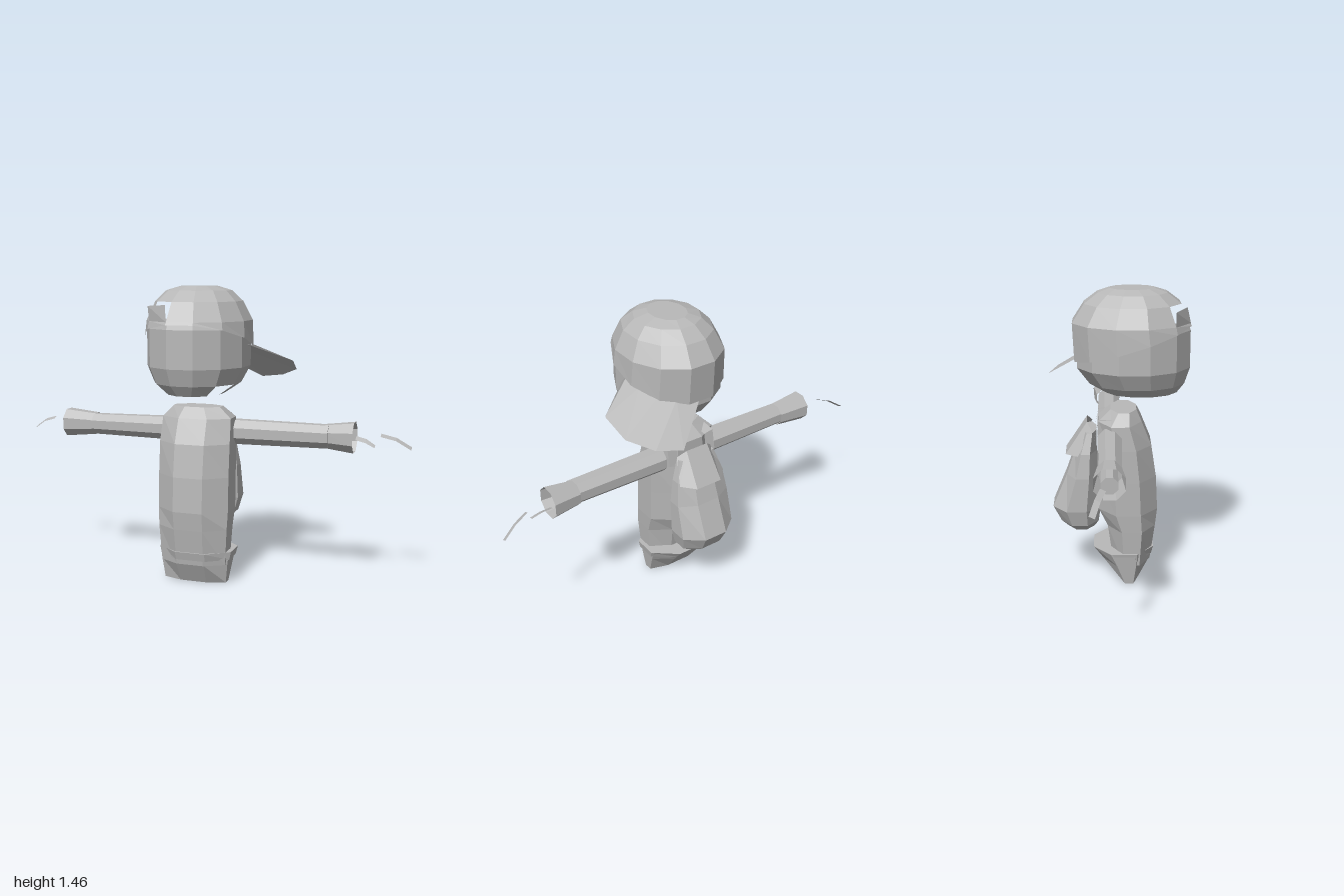
import * as THREE from 'three';

const grey = new THREE.MeshStandardMaterial({ color: 0xb8b8b8, flatShading: true });
grey.name = 'plain grey';
const greyThin = new THREE.MeshStandardMaterial({ color: 0xb8b8b8, flatShading: true, side: THREE.DoubleSide });
greyThin.name = 'plain grey thin';

// Stacks oval rings [y, halfWidth, zFront, zBack, tilt] centred on cx, sides facing out.
function loft(rings, n, { cx = 0, top = true, bottom = true, skip = () => false } = {}) {
  const pos = [], idx = [], k = 1 / Math.cos(Math.PI / n);
  for (const [y, w, zf, zb, tilt = 0] of rings) {
    for (let i = 0; i < n; i++) {
      const a = ((i + 0.5) / n) * Math.PI * 2;
      const z = (zf + zb) / 2 + ((zf - zb) / 2) * Math.sin(a) * k;
      pos.push(cx + w * Math.cos(a) * k, y + tilt * z, z);
    }
  }
  for (let r = 0; r < rings.length - 1; r++) {
    for (let i = 0; i < n; i++) {
      if (skip(r, i)) continue;
      const j = (i + 1) % n, a = r * n + i, d = r * n + j;
      idx.push(a, a + n, d + n, a, d + n, d);
    }
  }
  const last = (rings.length - 1) * n;
  for (let i = 1; i < n - 1; i++) {
    if (bottom) idx.push(0, i, i + 1);
    if (top) idx.push(last, last + i + 1, last + i);
  }
  return build(pos, idx);
}

function build(pos, idx) {
  const g = new THREE.BufferGeometry();
  g.setAttribute('position', new THREE.Float32BufferAttribute(pos, 3));
  g.setIndex(idx);
  const flat = g.toNonIndexed();
  flat.computeVertexNormals();
  return flat;
}

// Thin sheet between two matching rows of points.
function sheet(rowA, rowB) {
  const n = rowA.length, idx = [];
  for (let i = 0; i < n - 1; i++) idx.push(i, i + 1, n + i + 1, i, n + i + 1, n + i);
  return build([...rowA, ...rowB].flat(), idx);
}

// Tube section lying along x, from x0 to x1.
function sleeve(x0, x1, r0, r1, z, open = false) {
  const g = new THREE.CylinderGeometry(r1, r0, x1 - x0, 8, 1, open);
  g.rotateY(Math.PI / 8);
  g.rotateZ(-Math.PI / 2);
  g.translate((x0 + x1) / 2, 0.745, z);
  return g;
}

export function createModel() {
  const model = new THREE.Group();
  model.name = 'figure';
  const add = (name, geometry, material = grey) => {
    const mesh = new THREE.Mesh(geometry, material);
    mesh.name = name;
    model.add(mesh);
  };

  // Head, open under the cap and at the left jaw
  add('head', loft([
    [0.95, 0.13, 0.28, -0.06],
    [1.0, 0.2, 0.315, -0.14],
    [1.08, 0.238, 0.34, -0.2],
    [1.26, 0.238, 0.34, -0.2],
    [1.31, 0.22, 0.325, -0.19],
  ], 12, { top: false, skip: (r, i) => r === 0 && i === 0 }));

  // Backward cap with a gap above its strap
  add('cap', loft([
    [1.175, 0.25, 0.345, -0.212, 0.31],
    [1.295, 0.243, 0.338, -0.222],
    [1.385, 0.2, 0.295, -0.165],
    [1.435, 0.15, 0.23, -0.1],
    [1.455, 0.085, 0.17, -0.045],
  ], 12, { bottom: false, skip: (r, i) => r === 1 && i === 3 }));
  add('capStrap', sheet(
    [[-0.065, 1.295, 0.34], [-0.178, 1.295, 0.263]],
    [[-0.075, 1.372, 0.322], [-0.185, 1.365, 0.262]],
  ), greyThin);

  // Brim, curved and sloping down behind the left shoulder
  add('capBrim', sheet(
    [[0.23, 1.185, 0.06], [0.22, 1.165, -0.03], [0.175, 1.145, -0.12], [0.11, 1.13, -0.17], [0.0, 1.115, -0.2]],
    [[0.27, 1.18, 0.04], [0.43, 1.1, -0.07], [0.415, 1.045, -0.21], [0.32, 1.005, -0.31], [0.2, 0.988, -0.355]],
  ), greyThin);

  // Coat
  add('torso', loft([
    [0.1, 0.165, 0.155, -0.03],
    [0.28, 0.176, 0.18, -0.055],
    [0.37, 0.18, 0.19, -0.1],
    [0.54, 0.18, 0.182, -0.105],
    [0.7, 0.18, 0.158, -0.105],
    [0.82, 0.175, 0.11, -0.1],
    [0.875, 0.12, 0.085, -0.04],
  ], 8, { cx: -0.02 }));
  add('coatHem', loft([
    [0.125, 0.178, 0.162, -0.09],
    [0.165, 0.186, 0.172, -0.115],
  ], 8, { cx: -0.015 }));

  // Legs, tapering to a narrow foot
  add('legs', loft([
    [0, 0.16, 0.1, 0],
    [0.1, 0.172, 0.15, -0.075],
    [0.165, 0.18, 0.165, -0.125],
  ], 8, { cx: -0.02 }));

  // Backpack, its flap and shoulder straps
  add('backpack', loft([
    [0.265, 0.09, -0.12, -0.25],
    [0.3, 0.13, -0.1, -0.285],
    [0.38, 0.15, -0.09, -0.325],
    [0.55, 0.148, -0.1, -0.255],
    [0.67, 0.132, -0.11, -0.215],
    [0.77, 0.1, -0.11, -0.175],
  ], 8, { cx: -0.02 }));
  add('backpackFlap', sheet(
    [[-0.12, 0.78, -0.13], [-0.08, 0.815, -0.155], [0.04, 0.815, -0.155], [0.08, 0.78, -0.13]],
    [[-0.15, 0.66, -0.2], [-0.09, 0.655, -0.26], [0.05, 0.655, -0.26], [0.11, 0.66, -0.2]],
  ), greyThin);
  for (const side of [-1, 1]) {
    const x = -0.02 + side * 0.11;
    add(side > 0 ? 'leftShoulderStrap' : 'rightShoulderStrap', sheet(
      [[x - 0.025, 0.85, 0.02], [x - 0.025, 0.84, -0.1], [x - 0.025, 0.74, -0.12]],
      [[x + 0.025, 0.84, 0.02], [x + 0.025, 0.83, -0.1], [x + 0.025, 0.73, -0.12]],
    ), greyThin);
  }

  // Outstretched arms with flared cuffs
  add('leftArm', sleeve(0.12, 0.62, 0.065, 0.06, -0.045));
  add('leftCuff', sleeve(0.6, 0.74, 0.06, 0.078, -0.055, true), greyThin);
  add('rightArm', sleeve(-0.62, -0.16, 0.055, 0.062, -0.045));
  add('rightCuff', sleeve(-0.765, -0.6, 0.075, 0.058, -0.05, true), greyThin);
  add('rightWrist', sleeve(-0.78, -0.6, 0.04, 0.04, -0.05));

  // Slim finger strips beyond the cuffs
  const finger = [[0.86, 0.765, -0.09], [0.93, 0.745, -0.112], [1.0, 0.7, -0.135]];
  for (const side of [-1, 1]) {
    const row = (dy, dz) => finger.map(([x, y, z]) => [side * x, y + dy, z + dz]);
    add(side > 0 ? 'leftFinger' : 'rightFinger', sheet(row(0, 0), row(-0.012, 0.025)), greyThin);
  }
  add('leftThumb', sheet(
    [[0.74, 0.745, -0.1], [0.79, 0.735, -0.09], [0.835, 0.71, -0.075]],
    [[0.74, 0.73, -0.07], [0.79, 0.72, -0.06], [0.835, 0.7, -0.05]],
  ), greyThin);

  return model;
}
